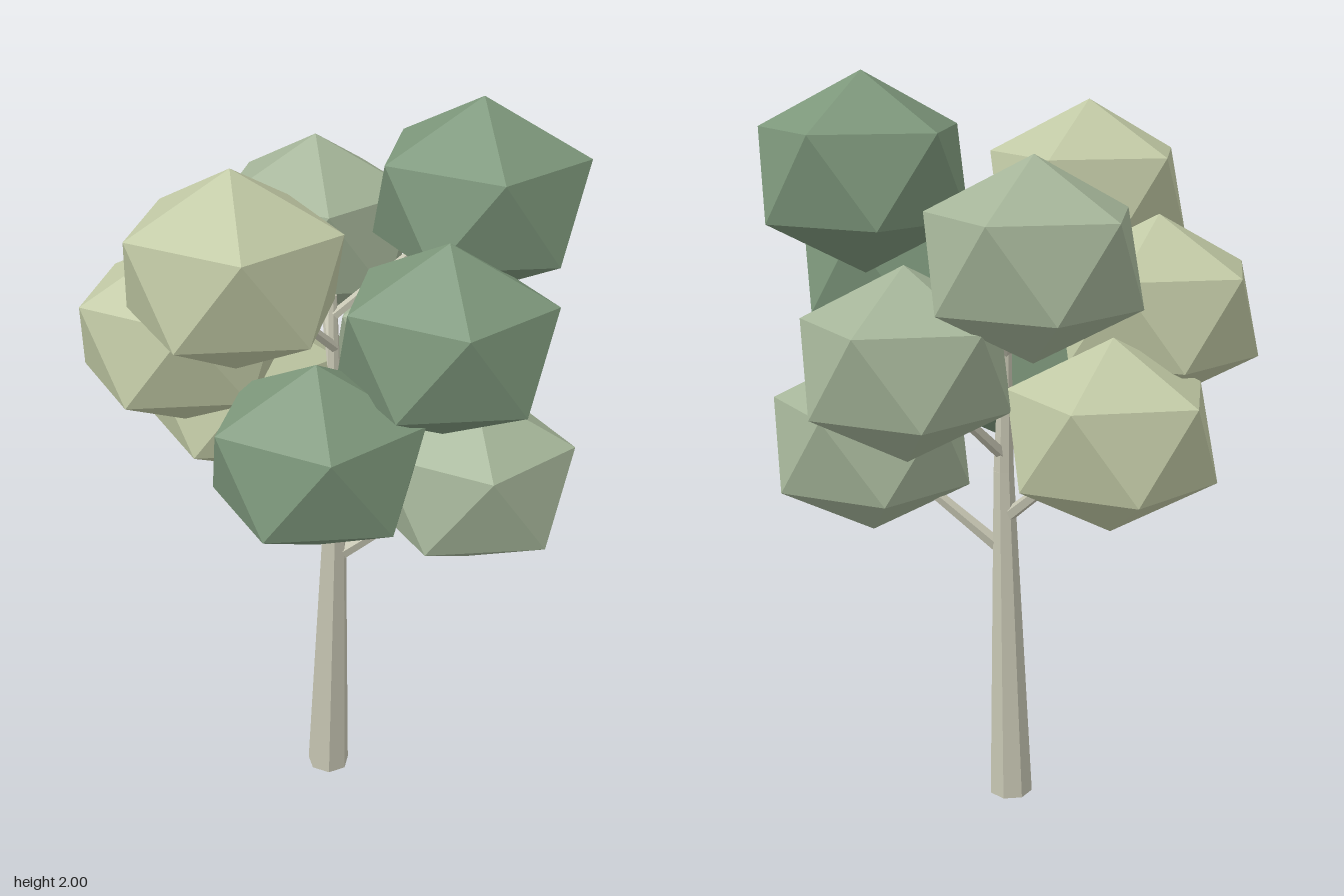
import * as THREE from 'three';

const material = (color) => new THREE.MeshStandardMaterial({ color, flatShading: true });

// Tapered rod between two points
function rod(from, to, r0, r1, sides, mat, name) {
  const dir = to.clone().sub(from);
  const geo = new THREE.CylinderGeometry(r1, r0, dir.length(), sides, 1, false, -Math.PI / 2);
  const mesh = new THREE.Mesh(geo, mat);
  mesh.position.copy(from).addScaledVector(dir, 0.5);
  mesh.quaternion.setFromUnitVectors(new THREE.Vector3(0, 1, 0), dir.normalize());
  mesh.name = name;
  return mesh;
}

export function createModel() {
  const tree = new THREE.Group();
  tree.name = 'tree';

  const bark = material(0xc6c5b2);
  const dark = material(0x7c967a);
  const mid = material(0xa4b498);
  const light = material(0xc0c8a4);

  // Trunk: slightly leaning, tapering in two sections
  const base = new THREE.Vector3(-0.006, 0, 0);
  const fork = new THREE.Vector3(0.014, 0.95, 0);
  const tip = new THREE.Vector3(0.005, 1.5, -0.005);
  tree.add(rod(base, fork, 0.06, 0.028, 7, bark, 'trunk'));
  tree.add(rod(fork, tip, 0.028, 0.01, 7, bark, 'upperTrunk'));

  // Leaf clump: icosahedron standing on a vertex, slightly flattened
  const clump = new THREE.IcosahedronGeometry(1, 0);
  clump.rotateZ(-Math.atan(2 / (1 + Math.sqrt(5))));
  clump.scale(0.298, 0.252, 0.277);

  // Clump centres spiralling up the trunk
  const clumps = [
    [0.373, 1.02, 0, mid],
    [-0.288, 1.115, -0.21, light],
    [0.024, 1.199, 0.298, dark],
    [0.228, 1.289, -0.242, mid],
    [-0.383, 1.386, 0.045, light],
    [0.315, 1.475, 0.161, dark],
    [-0.099, 1.568, -0.298, mid],
    [-0.182, 1.658, 0.265, light],
    [0.353, 1.748, -0.108, dark],
  ];
  clumps.forEach(([x, y, z, mat], i) => {
    const leaves = new THREE.Mesh(clump, mat);
    leaves.position.set(x, y, z);
    leaves.name = `leafClump${i + 1}`;
    tree.add(leaves);

    // Branch from the trunk up into the clump
    const start = new THREE.Vector3(0.01, y - 0.3, 0);
    const radius = 0.02 - i * 0.0008;
    tree.add(rod(start, leaves.position, radius, radius * 0.6, 5, bark, `branch${i + 1}`));
  });

  return tree;
}
